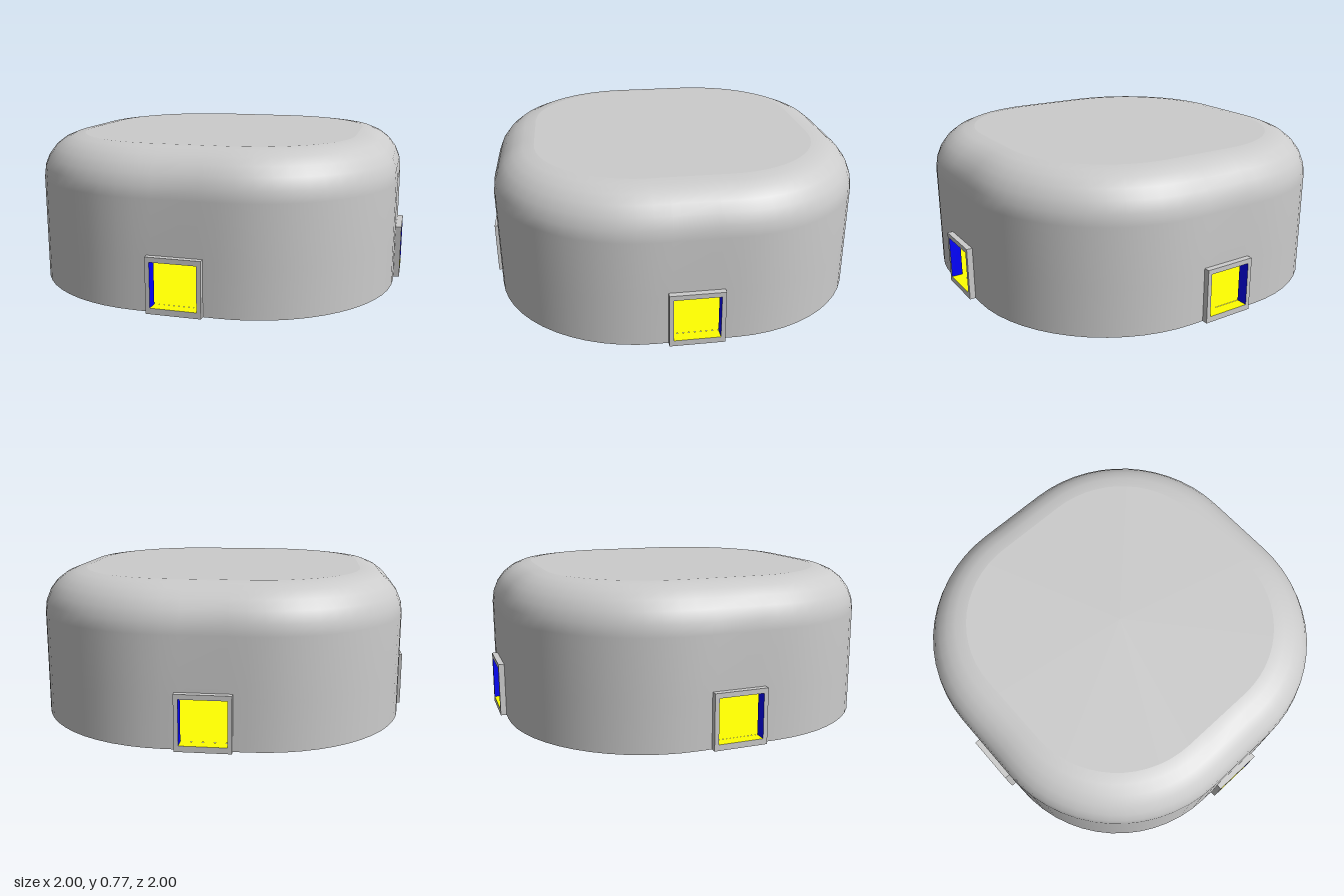
import * as THREE from 'three';

const CORE = 0.2;          // half length of the straight part of each side
const RADIUS = 0.77;       // corner radius of the plan
const WALL = 0.03;         // shell thickness
const SHOULDER = 0.55;     // height where the rounded shoulder begins
const OPEN = { x: 0.115, y0: 0.03, y1: 0.255 };
const FRAME = { x: 0.137, top: 0.28, back: 0.941, front: 1 };
const ARC_STEPS = 14;

const paint = (color) => new THREE.MeshStandardMaterial({ color });
const grey = paint(0xcccccc);
const yellow = paint(0xffff00);
const blue = paint(0x0000ff);
const red = paint(0xff0000);

// Plan outline: base points with outward normals, four equal quarters
function planColumns() {
  const quarter = [-OPEN.x, OPEN.x].map((x) => [x, CORE, 0, 1]);
  for (let i = 0; i <= ARC_STEPS; i++) {
    const a = (i / ARC_STEPS) * Math.PI / 2;
    quarter.push([CORE, CORE, Math.sin(a), Math.cos(a)]);
  }
  const columns = [];
  let part = quarter;
  for (let k = 0; k < 4; k++) {
    columns.push(...part);
    part = part.map(([x, z, nx, nz]) => [z, -x, nz, -nx]);
  }
  return columns;
}
const COLUMNS = planColumns();
const PER_SIDE = COLUMNS.length / 4;

const ring = (inset, y) => COLUMNS.flatMap(([x, z, nx, nz]) =>
  [x + nx * (RADIUS - inset), y, z + nz * (RADIUS - inset)]);

function geometryFrom(positions, index, flip) {
  if (flip) {
    for (let i = 0; i < index.length; i += 3) [index[i], index[i + 1]] = [index[i + 1], index[i]];
  }
  const g = new THREE.BufferGeometry();
  g.setAttribute('position', new THREE.Float32BufferAttribute(positions, 3));
  g.setIndex(index);
  g.computeVertexNormals();
  return g;
}

// Surface through [inset, y] rings; openRow leaves the four window cells out
function loft(profile, openRow, flip) {
  const n = COLUMNS.length;
  const index = [];
  for (let r = 0; r < profile.length - 1; r++) {
    for (let j = 0; j < n; j++) {
      if (r === openRow && j % PER_SIDE === 0) continue;
      const a = r * n + j, b = r * n + (j + 1) % n;
      index.push(a, b, b + n, a, b + n, a + n);
    }
  }
  return geometryFrom(profile.flatMap(([i, y]) => ring(i, y)), index, flip);
}

// Flat lid over one ring, facing up or down
function cap(inset, y, down) {
  const n = COLUMNS.length;
  const index = [];
  for (let j = 0; j < n; j++) index.push(n, j, (j + 1) % n);
  return geometryFrom([...ring(inset, y), 0, y, 0], index, down);
}

// Quarter-round shoulder profile
function shoulder(inset, radius, steps = 6) {
  return Array.from({ length: steps + 1 }, (_, i) => {
    const a = (i / steps) * Math.PI / 2;
    return [inset + radius * (1 - Math.cos(a)), SHOULDER + radius * Math.sin(a)];
  });
}

function add(parent, name, geometry, material) {
  const mesh = new THREE.Mesh(geometry, material);
  mesh.name = name;
  parent.add(mesh);
  return mesh;
}

// Window surround: four bars whose inner faces are coloured
function windowFrame() {
  const group = new THREE.Group();
  const bar = (name, x0, x1, y0, y1, face, material) => {
    const g = new THREE.BoxGeometry(x1 - x0, y1 - y0, FRAME.front - FRAME.back);
    g.translate((x0 + x1) / 2, (y0 + y1) / 2, (FRAME.front + FRAME.back) / 2);
    const materials = Array(6).fill(grey);
    materials[face] = material;
    add(group, name, g, materials);
  };
  bar('windowSill', -FRAME.x, FRAME.x, 0, OPEN.y0, 2, yellow);
  bar('windowHead', -FRAME.x, FRAME.x, OPEN.y1, FRAME.top, 3, red);
  bar('rightJamb', -FRAME.x, -OPEN.x, OPEN.y0, OPEN.y1, 0, blue);
  bar('leftJamb', OPEN.x, FRAME.x, OPEN.y0, OPEN.y1, 1, blue);
  return group;
}

export function createModel() {
  const model = new THREE.Group();
  model.name = 'roundedShelter';

  // Outer shell
  const outerR = 0.225, innerR = outerR - WALL;
  add(model, 'outerShell',
    loft([[0, 0], [0, OPEN.y0], [0, OPEN.y1], ...shoulder(0, outerR)], 1, false), grey);
  add(model, 'roof', cap(outerR, SHOULDER + outerR, false), grey);
  add(model, 'base', cap(0, 0, true), grey);

  // Hollow interior
  add(model, 'innerWall',
    loft([[WALL, OPEN.y0], [WALL, OPEN.y1], [WALL, SHOULDER]], 0, true), blue);
  add(model, 'ceilingEdge', loft(shoulder(WALL, innerR), -1, true), red);
  add(model, 'ceiling', cap(WALL + innerR, SHOULDER + innerR, true), red);
  add(model, 'floor', cap(WALL, OPEN.y0, false), yellow);

  // One window in the middle of each side
  ['front', 'left', 'back', 'right'].forEach((side, k) => {
    const frame = windowFrame();
    frame.name = side + 'WindowFrame';
    frame.rotation.y = k * Math.PI / 2;
    model.add(frame);
  });
  return model;
}
